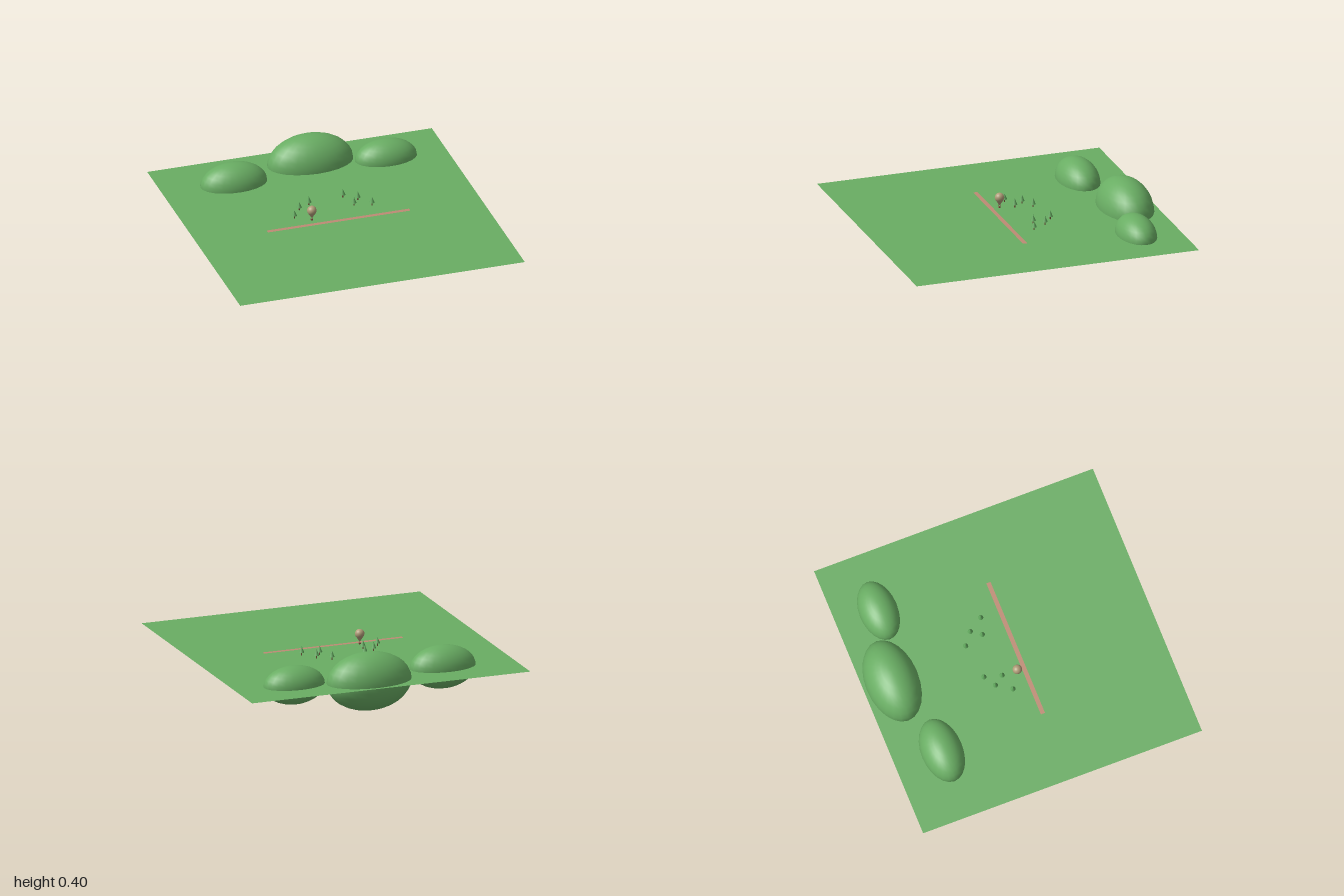
import * as THREE from 'three';

const GROUND_Y = 0.2;

function material(name, color, side = THREE.FrontSide) {
  const m = new THREE.MeshStandardMaterial({ color, side });
  m.name = name;
  return m;
}

export function createModel() {
  const grass = material('grass green', 0x69ad63, THREE.DoubleSide);
  const leaf = material('leaf green', 0x62a85e);
  const path = material('path clay', 0xbd8b74, THREE.DoubleSide);
  const bark = material('bark brown', 0x6e4f38);
  const cloth = material('balloon tan', 0xb09c78);
  const wicker = material('basket brown', 0x8a5a48);

  const model = new THREE.Group();
  model.name = 'landscape';

  function add(parent, name, geometry, mat, x, y, z) {
    const mesh = new THREE.Mesh(geometry, mat);
    mesh.name = name;
    mesh.position.set(x, y, z);
    parent.add(mesh);
    return mesh;
  }

  // Flat meadow and the straight path across it
  const flat = (w, d) => new THREE.PlaneGeometry(w, d).rotateX(-Math.PI / 2);
  add(model, 'meadow', flat(2, 2), grass, 0, GROUND_Y, 0);
  add(model, 'path', flat(1, 0.03), path, 0, GROUND_Y + 0.001, 0.055);

  // Ellipsoid hills, half sunk through the meadow: x, z, then radii
  const hills = [
    [-0.5, -0.67, 0.232, 0.148, 0.14],
    [0.08, -0.8, 0.298, 0.2, 0.18],
    [0.58, -0.702, 0.215, 0.132, 0.13],
  ];
  for (const [x, z, rx, ry, rz] of hills) {
    const hill = add(model, 'hill', new THREE.SphereGeometry(1, 24, 16), grass, x, GROUND_Y, z);
    hill.scale.set(rx, ry, rz);
  }

  // Small conifers, each a trunk and a cone
  const trunkGeometry = new THREE.CylinderGeometry(0.004, 0.004, 0.024, 8);
  const crownGeometry = new THREE.ConeGeometry(0.018, 0.042, 12);
  const trees = [
    [-0.27, -0.07], [-0.203, -0.17], [-0.12, -0.22], [-0.153, -0.102],
    [0.13, -0.253], [0.214, -0.187], [0.165, -0.12], [0.281, -0.086],
  ];
  for (const [x, z] of trees) {
    const tree = new THREE.Group();
    tree.name = 'tree';
    tree.position.set(x, GROUND_Y, z);
    add(tree, 'trunk', trunkGeometry, bark, 0, 0.012, 0);
    add(tree, 'crown', crownGeometry, leaf, 0, 0.042, 0);
    model.add(tree);
  }

  // Balloon: round envelope tapering to a mouth, with a basket below
  const balloon = new THREE.Group();
  balloon.name = 'balloon';
  balloon.position.set(-0.17, GROUND_Y, 0);
  const profile = [new THREE.Vector2(0.004, 0.026)];
  for (let i = 0; i <= 14; i++) {
    const a = -0.6 + (i / 14) * (Math.PI / 2 + 0.6);
    profile.push(new THREE.Vector2(Math.max(0, 0.032 * Math.cos(a)), 0.078 + 0.032 * Math.sin(a)));
  }
  add(balloon, 'envelope', new THREE.LatheGeometry(profile, 20), cloth, 0, 0, 0);
  add(balloon, 'mouth', new THREE.CircleGeometry(0.004, 12).rotateX(Math.PI / 2), cloth, 0, 0.026, 0);
  add(balloon, 'basket', new THREE.BoxGeometry(0.012, 0.01, 0.012), wicker, 0, 0.01, 0);
  for (const x of [-0.004, 0.004]) {
    for (const z of [-0.004, 0.004]) {
      add(balloon, 'rope', new THREE.CylinderGeometry(0.0006, 0.0006, 0.02, 5), wicker, x, 0.023, z);
    }
  }
  model.add(balloon);

  return model;
}
